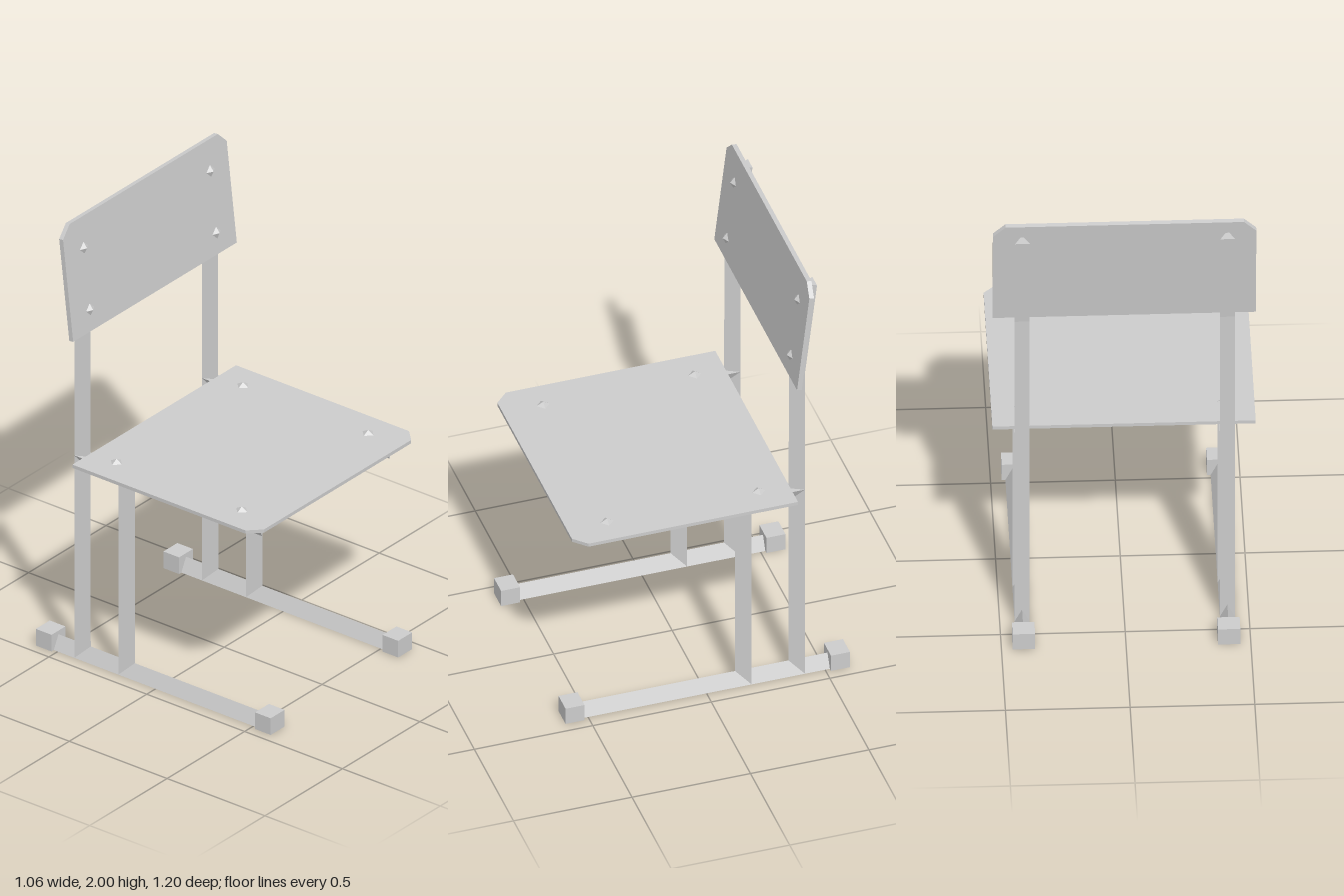
import * as THREE from 'three';

const material = new THREE.MeshStandardMaterial({ color: 0xcccccc, flatShading: true });

function addMesh(parent, name, geometry, x = 0, y = 0, z = 0) {
  const mesh = new THREE.Mesh(geometry, material);
  mesh.name = name;
  mesh.position.set(x, y, z);
  parent.add(mesh);
  return mesh;
}

// Triangular bar lofted through stations [apexY, apexZ, baseY, baseZ]
function triangularBar(stations, halfWidth = 0.03) {
  const rings = stations.map(([ay, az, by, bz]) => [
    [-halfWidth, by, bz], [0, ay, az], [halfWidth, by, bz],
  ]);
  const positions = [];
  const face = (...points) => points.forEach((p) => positions.push(...p));
  for (let i = 0; i < rings.length - 1; i++) {
    const a = rings[i], b = rings[i + 1];
    for (let j = 0; j < 3; j++) {
      const k = (j + 1) % 3;
      face(a[j], a[k], b[k], a[j], b[k], b[j]);
    }
  }
  const first = rings[0], last = rings[rings.length - 1];
  face(first[2], first[1], first[0]);
  face(last[0], last[1], last[2]);
  const geometry = new THREE.BufferGeometry();
  geometry.setAttribute('position', new THREE.Float32BufferAttribute(positions, 3));
  geometry.computeVertexNormals();
  return geometry;
}

// Board with its two far corners cut off
function board(halfWidth, start, end, cut, depth) {
  const shape = new THREE.Shape([
    [-halfWidth, start], [halfWidth, start], [halfWidth, end - cut],
    [halfWidth - cut, end], [-halfWidth + cut, end], [-halfWidth, end - cut],
  ].map(([x, y]) => new THREE.Vector2(x, y)));
  return new THREE.ExtrudeGeometry(shape, { depth, bevelEnabled: false });
}

export function createModel() {
  const chair = new THREE.Group();
  chair.name = 'chair';

  // Two side frames of mitred triangular bars
  for (const [name, x] of [['rightFrame', -0.413], ['leftFrame', 0.41]]) {
    const frame = new THREE.Group();
    frame.name = name;
    frame.position.x = x;
    chair.add(frame);
    addMesh(frame, 'floorRail', triangularBar([[0.06, 0.53, 0, 0.53], [0.06, -0.53, 0, -0.53]]));
    addMesh(frame, 'seatRail', triangularBar([[0.862, -0.355, 0.925, -0.415], [0.862, 0.52, 0.925, 0.52]]));
    addMesh(frame, 'frontPost', triangularBar([[0.06, -0.13, 0, -0.19], [0.862, -0.13, 0.925, -0.19]]));
    addMesh(frame, 'backPost', triangularBar([
      [0.06, -0.355, 0, -0.415], [1.5, -0.357, 1.51, -0.415], [1.94, -0.41, 1.94, -0.466],
    ]));
    for (const z of [0.56, -0.56]) {
      addMesh(frame, 'foot', new THREE.BoxGeometry(0.09, 0.076, 0.08), 0, 0.038, z);
    }
  }

  // Seat board, cut at the front corners
  const seat = board(0.528, -0.357, 0.58, 0.053, 0.015);
  seat.rotateX(Math.PI / 2);
  addMesh(chair, 'seat', seat, -0.001, 0.94, 0);

  // Backrest board, cut at the top corners and leaning back
  const backrest = new THREE.Group();
  backrest.name = 'backrest';
  backrest.position.set(-0.001, 1.502, -0.353);
  backrest.rotation.x = -0.115;
  chair.add(backrest);
  addMesh(backrest, 'backrestBoard', board(0.528, 0, 0.501, 0.05, 0.02), 0, 0, -0.02);

  // Faceted bolt heads on both boards
  for (const x of [-0.405, 0.411]) {
    for (const z of [-0.23, 0.41]) {
      addMesh(chair, 'seatBolt', new THREE.ConeGeometry(0.028, 0.016, 4), x, 0.948, z);
    }
    for (const y of [0.093, 0.366]) {
      const bolt = addMesh(backrest, 'backrestBolt', new THREE.ConeGeometry(0.026, 0.016, 4), x, y, 0.008);
      bolt.rotation.x = Math.PI / 2;
    }
  }
  return chair;
}
